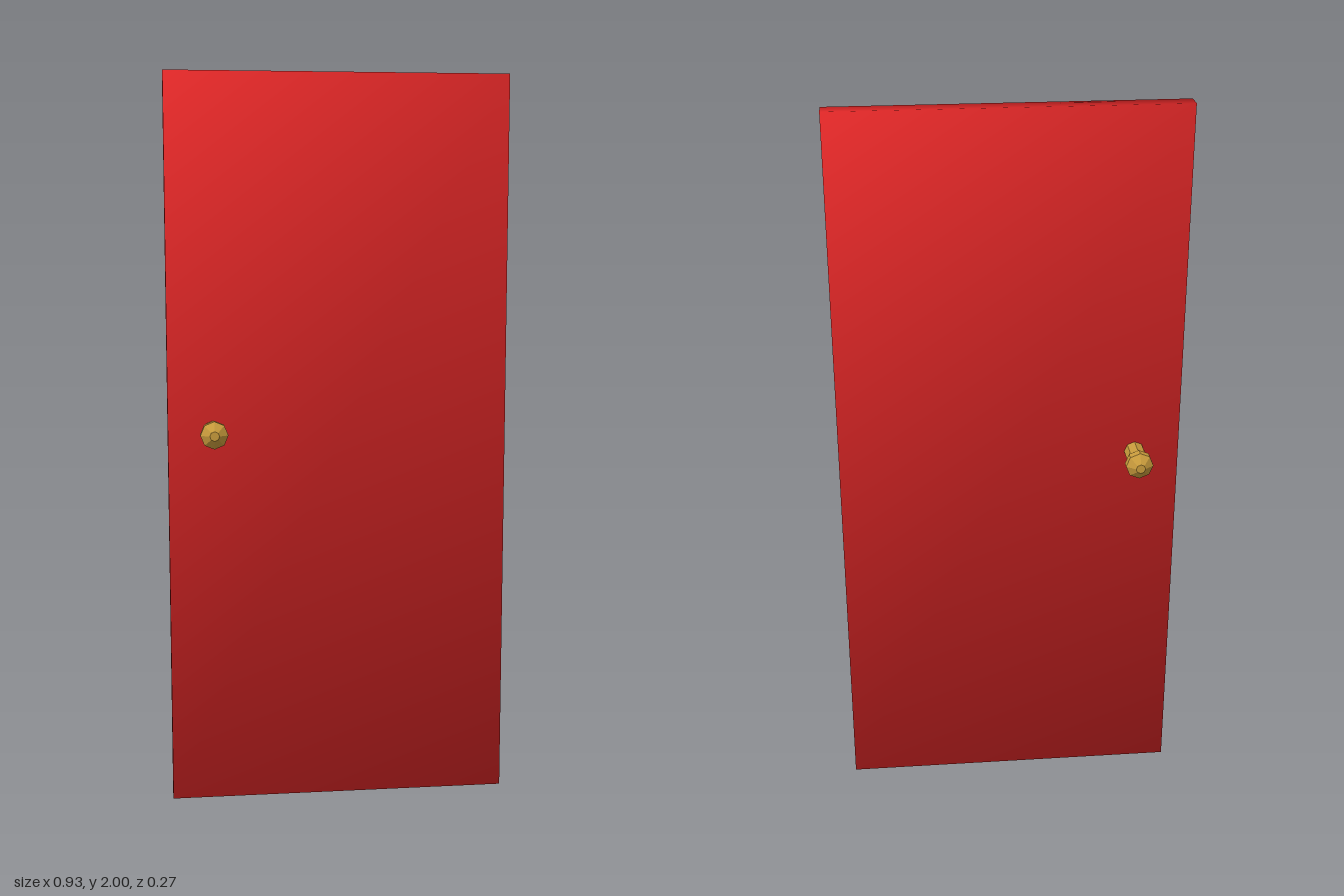
import * as THREE from 'three';

export function createModel() {
  const group = new THREE.Group();

  // Door slab, with normals blended across its corners
  const panelGeometry = new THREE.BoxGeometry(0.934, 2, 0.05);
  const corners = panelGeometry.attributes.position;
  const normal = new THREE.Vector3();
  for (let i = 0; i < corners.count; i++) {
    normal.fromBufferAttribute(corners, i);
    normal.set(Math.sign(normal.x), Math.sign(normal.y), Math.sign(normal.z)).normalize();
    panelGeometry.attributes.normal.setXYZ(i, normal.x, normal.y, normal.z);
  }
  const panel = new THREE.Mesh(panelGeometry, new THREE.MeshStandardMaterial({ color: 0xdc2626 }));
  panel.name = 'doorPanel';
  panel.position.y = 1;
  group.add(panel);

  // Eight-sided handle running through the door, with a knob at each end
  const half = [[0.028, 0.077], [0.0375, 0.097], [0.0375, 0.118], [0.013, 0.137], [0, 0.137]];
  const profile = [
    ...half.map(([r, z]) => new THREE.Vector2(r, -z)).reverse(),
    ...half.map(([r, z]) => new THREE.Vector2(r, z)),
  ];
  const handle = new THREE.Mesh(
    new THREE.LatheGeometry(profile, 8).rotateX(Math.PI / 2),
    new THREE.MeshStandardMaterial({ color: 0xc89b3c, flatShading: true }),
  );
  handle.name = 'doorHandle';
  handle.position.set(-0.345, 1.04, 0);
  group.add(handle);

  return group;
}
